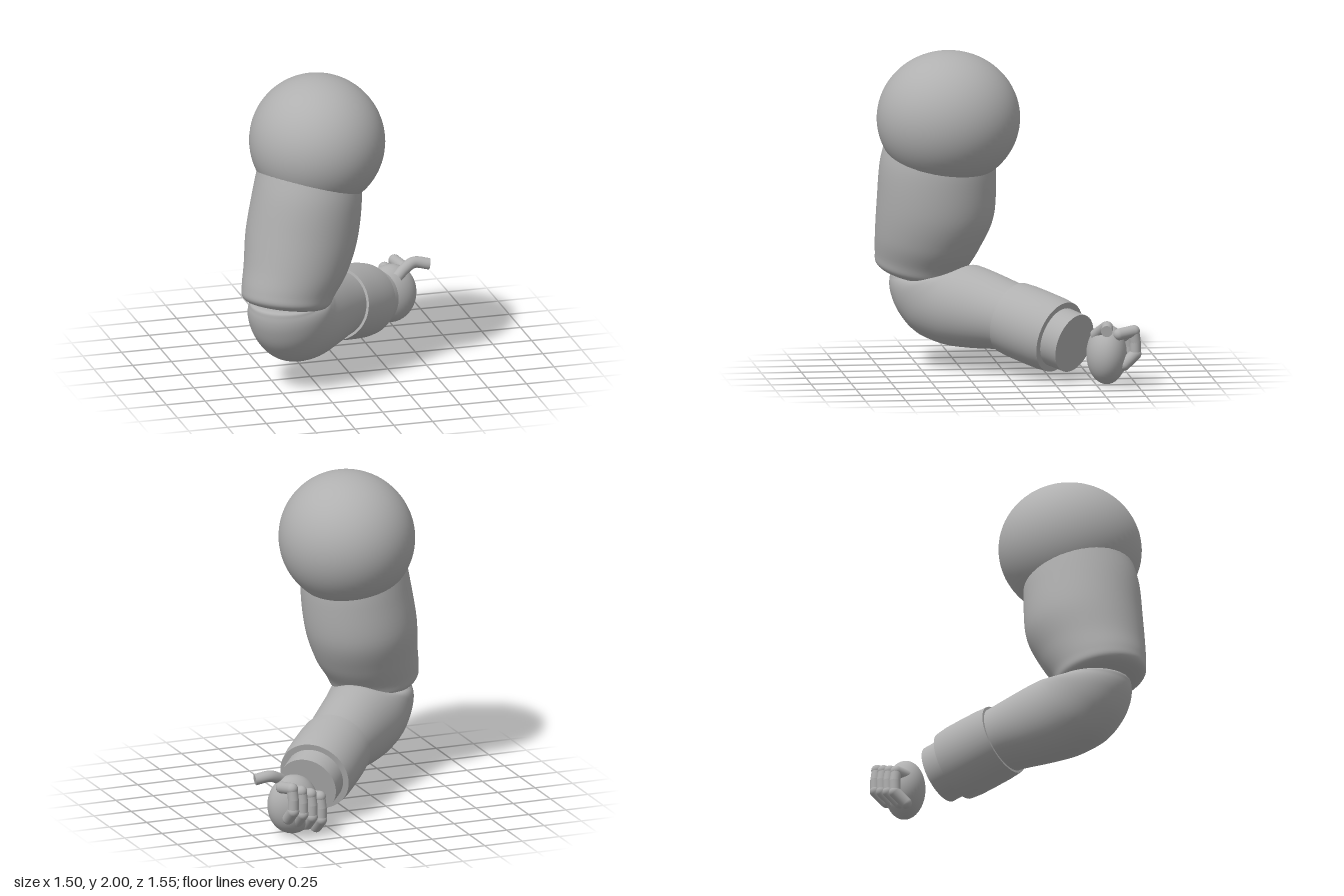
import * as THREE from 'three';

const V = (x, y, z) => new THREE.Vector3(x, y, z);
const SIDES = 48;

// Horizontal direction the forearm points in, and the direction across it
const ALONG = V(0.69, 0, -0.72).normalize();
const ACROSS = V(0.72, 0, 0.69).normalize();
const ORIGIN = V(0, 0, -0.04); // axis under the start of the cuff

export function createModel() {
  const grey = new THREE.MeshStandardMaterial({ color: 0xb0b0b0 });
  grey.name = 'grey';
  const model = new THREE.Group();
  model.name = 'bentArm';

  function add(parent, name, geometry) {
    const mesh = new THREE.Mesh(geometry, grey);
    mesh.name = name;
    parent.add(mesh);
    return mesh;
  }

  // Smoothly interpolate rows of numbers, then skin a ring made from each row
  function loft(rows, ringPoint, steps = 6) {
    const curve = new THREE.CubicInterpolant(rows.map((_, i) => i), rows.flat(), rows[0].length);
    const positions = [], index = [];
    const count = (rows.length - 1) * steps;
    for (let i = 0; i <= count; i++) {
      const row = Array.from(curve.evaluate(i / steps));
      for (let j = 0; j < SIDES; j++) {
        positions.push(...ringPoint(row, (j / SIDES) * Math.PI * 2).toArray());
        if (i === count) continue;
        const a = i * SIDES + j, b = i * SIDES + (j + 1) % SIDES;
        index.push(a, b, b + SIDES, a, b + SIDES, a + SIDES);
      }
    }
    const geometry = new THREE.BufferGeometry();
    geometry.setAttribute('position', new THREE.Float32BufferAttribute(positions, 3));
    geometry.setIndex(index);
    geometry.computeVertexNormals();
    return geometry;
  }

  // Shoulder ball
  const shoulder = add(model, 'shoulder', new THREE.SphereGeometry(1, 64, 40));
  shoulder.scale.set(0.42, 0.42, 0.445);
  shoulder.position.set(-0.23, 1.58, 0.335);

  // Upper arm, from the elbow crease up: y, centre x, centre z, radius x, radius z
  const upperRows = [
    [0.56, -0.465, 0.47, 0.03, 0.03],
    [0.565, -0.465, 0.47, 0.2, 0.2],
    [0.6, -0.473, 0.483, 0.268, 0.27],
    [0.67, -0.455, 0.475, 0.29, 0.29],
    [0.8, -0.402, 0.445, 0.32, 0.325],
    [1.0, -0.35, 0.403, 0.345, 0.362],
    [1.25, -0.31, 0.39, 0.337, 0.36],
    [1.45, -0.29, 0.37, 0.31, 0.33],
  ];
  add(model, 'upperArm', loft(upperRows, ([y, cx, cz, rx, rz], a) => {
    const dx = rx * Math.sin(a), dz = rz * Math.cos(a);
    return V(cx + dx, y - 0.14 * (dx - dz), cz + dz); // rings lean with the arm
  }));

  // Elbow and forearm: outer distance and y, inner distance and y, half width
  const foreRows = [
    [-0.68, 0.58, -0.64, 0.58, 0.02],
    [-0.87, 0.585, -0.44, 0.57, 0.2],
    [-0.9, 0.54, -0.4, 0.59, 0.235],
    [-0.885, 0.44, -0.375, 0.62, 0.255],
    [-0.82, 0.315, -0.355, 0.642, 0.26],
    [-0.69, 0.2, -0.335, 0.654, 0.258],
    [-0.5, 0.146, -0.29, 0.65, 0.25],
    [-0.31, 0.14, -0.17, 0.622, 0.235],
    [-0.06, 0.15, 0.05, 0.56, 0.212],
    [0.06, 0.12, 0.17, 0.53, 0.2],
  ];
  add(model, 'forearm', loft(foreRows, ([os, oy, is, iy, w], a) => {
    const c = Math.cos(a) / 2;
    return ORIGIN.clone()
      .addScaledVector(ALONG, (os + is) / 2 + (os - is) * c)
      .addScaledVector(ACROSS, -w * Math.sin(a))
      .setY((oy + iy) / 2 + (oy - iy) * c);
  }));

  // Cuff and wrist, turned around the forearm axis
  const axis = ALONG.clone().multiplyScalar(0.97).setY(-0.24).normalize();
  const sleeve = new THREE.Group();
  sleeve.name = 'sleeve';
  sleeve.position.copy(ORIGIN).setY(0.355);
  sleeve.quaternion.setFromUnitVectors(V(0, 1, 0), axis);
  model.add(sleeve);
  const cuffParts = [
    ['cuffBack', [[0.18, 0], [0.228, 0]]],
    ['cuffSide', [[0.228, 0], [0.234, 0.08], [0.235, 0.2], [0.234, 0.3], [0.226, 0.37]]],
    ['cuffFront', [[0.226, 0.37], [0.17, 0.37]]],
    ['wristSide', [[0.19, 0.3], [0.188, 0.4], [0.187, 0.49]]],
    ['wristEnd', [[0.187, 0.49], [0, 0.49]]],
  ];
  for (const [name, profile] of cuffParts) {
    add(sleeve, name, new THREE.LatheGeometry(profile.map(p => new THREE.Vector2(...p)), 64));
  }

  // Hand: rounded palm floating off the wrist
  const hand = new THREE.Group();
  hand.name = 'hand';
  model.add(hand);
  const palm = add(hand, 'palm', new THREE.SphereGeometry(1, 40, 28));
  palm.scale.set(0.163, 0.187, 0.125);
  palm.position.set(0.503, 0.193, -0.563);

  // Thumb: a bent tube with a flat tip
  const thumbPath = new THREE.CatmullRomCurve3([
    V(0.52, 0.315, -0.49), V(0.58, 0.355, -0.525), V(0.65, 0.385, -0.548), V(0.745, 0.37, -0.535),
  ]);
  add(hand, 'thumb', new THREE.TubeGeometry(thumbPath, 24, 0.036, 20));
  const tip = add(hand, 'thumbTip', new THREE.CircleGeometry(0.036, 20));
  tip.position.copy(thumbPath.getPoint(1));
  tip.quaternion.setFromUnitVectors(V(0, 0, 1), thumbPath.getTangent(1));

  // Four curled fingers, each a chain of rounded segments
  const knots = [V(0.605, 0.33, -0.63), V(0.575, 0.345, -0.725), V(0.57, 0.275, -0.735),
    V(0.57, 0.2, -0.735), V(0.575, 0.135, -0.665)];
  for (let f = 0; f < 4; f++) {
    const finger = new THREE.Group();
    finger.name = 'finger' + (f + 1);
    finger.position.set(-0.073 * f, -0.033 * f, 0.026 * f);
    hand.add(finger);
    for (let k = 0; k < knots.length - 1; k++) {
      const a = knots[k], b = knots[k + 1];
      const radius = k === 1 || k === 2 ? 0.034 : 0.037;
      const segment = add(finger, 'fingerSegment', new THREE.CapsuleGeometry(radius, a.distanceTo(b), 8, 18));
      segment.position.lerpVectors(a, b, 0.5);
      segment.quaternion.setFromUnitVectors(V(0, 1, 0), b.clone().sub(a).normalize());
    }
  }

  return model;
}
